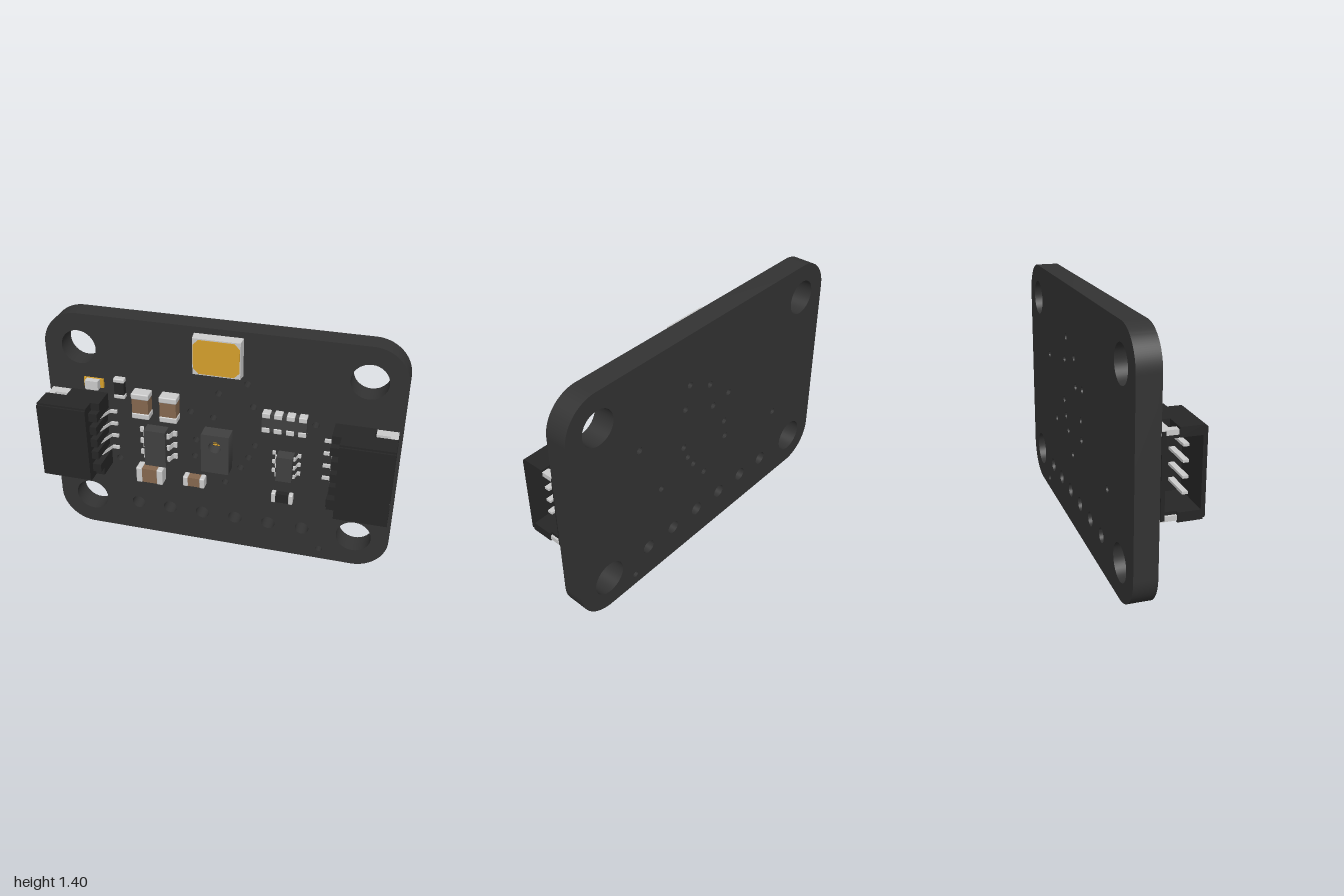
import * as THREE from 'three';
import { toCreasedNormals } from 'three/addons/utils/BufferGeometryUtils.js';
import { RoundedBoxGeometry } from 'three/addons/geometries/RoundedBoxGeometry.js';

const mat = (color) => new THREE.MeshStandardMaterial({ color });
const BOARD = mat(0x333333), BLACK = mat(0x262626), CHIP = mat(0x404040), METAL = mat(0xcccccc);
const BROWN = mat(0x86684f), GOLD = mat(0xd6a02c);
const Z0 = -0.055; // front surface of the board

function add(parent, name, geo, material) {
  const m = new THREE.Mesh(geo, material);
  m.name = name;
  parent.add(m);
  return m;
}

function group(parent, name, x = 0, y = 0) {
  const g = new THREE.Group();
  g.name = name;
  g.position.set(x, y, 0);
  parent.add(g);
  return g;
}

// Box given by its limits, optionally with rounded edges
function box(parent, name, x0, x1, y0, y1, z0, z1, material, r = 0) {
  const s = [x1 - x0, y1 - y0, z1 - z0];
  const geo = r ? new RoundedBoxGeometry(...s, 2, r) : new THREE.BoxGeometry(...s);
  geo.translate((x0 + x1) / 2, (y0 + y1) / 2, (z0 + z1) / 2);
  return add(parent, name, geo, material);
}

// Bent strip following an x-z path, extruded along y
function leg(parent, path, y, width, t = 0.014) {
  const pts = [...path, ...path.map(([x, z]) => [x, z + t]).reverse()];
  const shape = new THREE.Shape(pts.map(([x, z]) => new THREE.Vector2(x, z)));
  const geo = new THREE.ExtrudeGeometry(shape, { depth: width, bevelEnabled: false });
  geo.translate(0, 0, -width / 2).rotateX(Math.PI / 2).translate(0, y, 0);
  add(parent, 'leg', geo, METAL);
}

function roundedRect(x0, y0, x1, y1, r) {
  const s = new THREE.Shape();
  s.absarc(x1 - r, y1 - r, r, 0, Math.PI / 2);
  s.absarc(x0 + r, y1 - r, r, Math.PI / 2, Math.PI);
  s.absarc(x0 + r, y0 + r, r, Math.PI, Math.PI * 1.5);
  s.absarc(x1 - r, y0 + r, r, Math.PI * 1.5, Math.PI * 2);
  s.closePath();
  return s;
}

function punch(shape, x, y, r) {
  shape.holes.push(new THREE.Path().absarc(x, y, r, 0, Math.PI * 2, true));
}

function extrude(shape, z0, z1, curveSegments = 16) {
  const geo = new THREE.ExtrudeGeometry(shape, { depth: z1 - z0, bevelEnabled: false, curveSegments });
  return toCreasedNormals(geo.translate(0, 0, z0), 0.6);
}

function addBoard(root) {
  const s = roundedRect(-1, 0, 1, 1.4, 0.2);
  // mounting holes, header holes, vias
  for (const x of [-0.8, 0.8]) for (const y of [0.2, 1.2]) punch(s, x, y, 0.1);
  for (let i = 0; i < 6; i++) punch(s, -0.5 + i * 0.2, 0.2, 0.04);
  const vias = [[0.61, 0.07], [-0.6, 0.505], [0.16, 1.1], [0, 1.02], [0.195, 0.965], [0.54, 0.905],
    [-0.16, 0.885], [-0.03, 0.865], [0.21, 0.72], [-0.13, 0.705], [0.175, 0.635], [-0.14, 0.595],
    [0.13, 0.56], [0.04, 0.445], [0.39, 0.55]];
  for (const [x, y] of vias) punch(s, x, y, 0.019);
  add(root, 'board', extrude(s, -0.18, Z0), BOARD);
}

// Four-pin socket opening toward +x
function addConnector(root, name, flip) {
  const g = group(root, name, 0, 0.704);
  if (flip) g.rotation.z = Math.PI;
  box(g, 'frontWall', 0.695, 0.982, -0.225, 0.225, 0.155, 0.177, BLACK);
  box(g, 'boardSideWall', 0.695, 0.982, -0.22, 0.22, -0.045, -0.025, BLACK);
  box(g, 'rearWall', 0.695, 0.74, -0.235, 0.235, -0.045, 0.165, BLACK);
  for (const s of [-1, 1]) {
    const wall = (n, x0, x1, a, b, z0, z1, m) =>
      box(g, n, x0, x1, Math.min(s * a, s * b), Math.max(s * a, s * b), z0, z1, m);
    wall('sideWall', 0.74, 0.982, 0.185, 0.235, 0.04, 0.165, BLACK);
    wall('sideWallBase', 0.74, 0.86, 0.185, 0.235, -0.045, 0.04, BLACK);
    wall('innerSideWall', 0.86, 0.97, 0.18, 0.197, -0.045, 0.04, BLACK);
    wall('rearShoulder', 0.645, 0.695, 0.19, 0.235, -0.045, 0.09, BLACK);
    wall('rearShoulderRib', 0.645, 0.695, 0.14, 0.19, -0.045, 0.132, BLACK);
    // solder tab beside the opening
    wall('solderTab', 0.865, 0.98, 0.199, 0.225, Z0, 0, METAL);
    wall('solderTabRiser', 0.94, 0.98, 0.199, 0.225, 0, 0.038, METAL);
  }
  for (const y of [-0.08, 0, 0.08]) box(g, 'rearRib', 0.655, 0.695, y - 0.025, y + 0.025, -0.045, 0.132, BLACK);
  for (let i = 0; i < 4; i++) {
    const y = -0.12 + i * 0.08;
    box(g, 'contactPin', 0.74, 0.92, y - 0.007, y + 0.007, 0.085, 0.115, METAL);
    leg(g, [[0.7, 0.035], [0.665, 0.035], [0.635, -0.05], [0.595, -0.05]], y, 0.018);
  }
}

// Two-terminal part; long axis along x, or along y when vertical
function addChip(root, name, x, y, len, wid, z1, end, bodyMat, endMat, vertical = false) {
  const g = group(root, name, x, y);
  if (vertical) g.rotation.z = Math.PI / 2;
  const h = len / 2, w = wid / 2;
  box(g, 'body', -h + end * 0.6, h - end * 0.6, -w + 0.004, w - 0.004, Z0 + 0.003, z1 - 0.004, bodyMat);
  box(g, 'terminal', -h, -h + end, -w, w, Z0, z1, endMat, 0.007);
  box(g, 'terminal', h - end, h, -w, w, Z0, z1, endMat, 0.007);
}

// Six-legged package
function addIC(root, name, x, y, w, h, span, pitch, legWidth) {
  const g = group(root, name, x, y);
  box(g, 'body', -w / 2, w / 2, -h / 2, h / 2, Z0 + 0.012, 0.03, CHIP);
  for (const turn of [0, Math.PI]) {
    const side = group(g, 'legRow');
    side.rotation.z = turn;
    const a = w / 2, b = span / 2, d = b - a;
    for (const k of [-1, 0, 1])
      leg(side, [[a - 0.01, -0.012], [a + d * 0.3, -0.012], [a + d * 0.55, -0.053], [b, -0.053]], k * pitch, legWidth);
  }
}

function addSensor(root) {
  const g = group(root, 'opticalSensor');
  const s = roundedRect(-0.08, 0.555, 0.08, 0.8, 0.002);
  punch(s, 0, 0.725, 0.036);
  add(g, 'housing', extrude(s, Z0, 0.032, 12), CHIP);
  box(g, 'sensorDie', -0.026, 0.026, 0.699, 0.751, Z0, -0.03, BLACK);
  for (let i = 0; i < 4; i++) {
    const y = 0.703 + i * 0.013;
    box(g, 'dieStripe', -0.025, 0.025, y, y + 0.007, -0.03, -0.027, GOLD);
  }
}

function addResistorArray(root) {
  const g = group(root, 'resistorArray', 0.375, 0.905);
  box(g, 'body', -0.123, 0.123, -0.05, 0.05, Z0 + 0.003, -0.008, CHIP);
  for (const x of [-0.1, -0.034, 0.034, 0.1]) for (const s of [-1, 1])
    box(g, 'terminal', x - 0.022, x + 0.022, s * 0.045 - 0.015, s * 0.045 + 0.015, Z0, -0.003, METAL, 0.004);
}

function addLamp(root) {
  const g = group(root, 'lamp', 0, 1.255);
  // housing with a sloped outer rim
  const geo = new THREE.BoxGeometry(0.27, 0.22, 0.055).translate(0, 0, -0.0275);
  const p = geo.attributes.position;
  for (let i = 0; i < p.count; i++) if (p.getZ(i) > -0.01) p.setXY(i, p.getX(i) * 0.97, p.getY(i) * 0.95);
  geo.computeVertexNormals();
  add(g, 'housing', geo, METAL);
  const x = 0.127, y = 0.098, c = 0.03;
  const s = new THREE.Shape([[-x + c, -y], [x - c, -y], [x, -y + c], [x, y - c], [x - c, y], [-x + c, y],
    [-x, y - c], [-x, -y + c]].map(([a, b]) => new THREE.Vector2(a, b)));
  add(g, 'lens', extrude(s, -0.004, 0.003), GOLD);
}

export function createModel() {
  const root = new THREE.Group();
  root.name = 'sensorBoard';
  addBoard(root);
  addConnector(root, 'leftConnector', false);
  addConnector(root, 'rightConnector', true);
  addLamp(root);
  addSensor(root);
  addResistorArray(root);
  addIC(root, 'regulator', -0.352, 0.655, 0.125, 0.23, 0.22, 0.075, 0.03);
  addIC(root, 'levelShifter', 0.392, 0.642, 0.09, 0.155, 0.16, 0.058, 0.02);
  // capacitors
  addChip(root, 'capacitor', -0.433, 0.912, 0.158, 0.102, 0.02, 0.036, BROWN, METAL, true);
  addChip(root, 'capacitor', -0.272, 0.912, 0.158, 0.102, 0.02, 0.036, BROWN, METAL, true);
  addChip(root, 'capacitor', -0.398, 0.453, 0.16, 0.1, 0.02, 0.036, BROWN, METAL);
  addChip(root, 'smallCapacitor', -0.136, 0.443, 0.128, 0.066, 0.002, 0.03, BROWN, METAL);
  // resistors
  addChip(root, 'resistor', -0.565, 0.988, 0.125, 0.065, -0.015, 0.026, BLACK, METAL, true);
  addChip(root, 'resistor', 0.38, 0.412, 0.125, 0.065, -0.015, 0.026, BLACK, METAL);
  // indicator light
  const led = group(root, 'indicatorLight', -0.723, 0.994);
  box(led, 'base', -0.058, 0.058, -0.027, 0.027, Z0, -0.042, GOLD);
  box(led, 'lens', -0.038, 0.038, -0.027, 0.027, -0.042, -0.005, METAL);
  return root;
}
